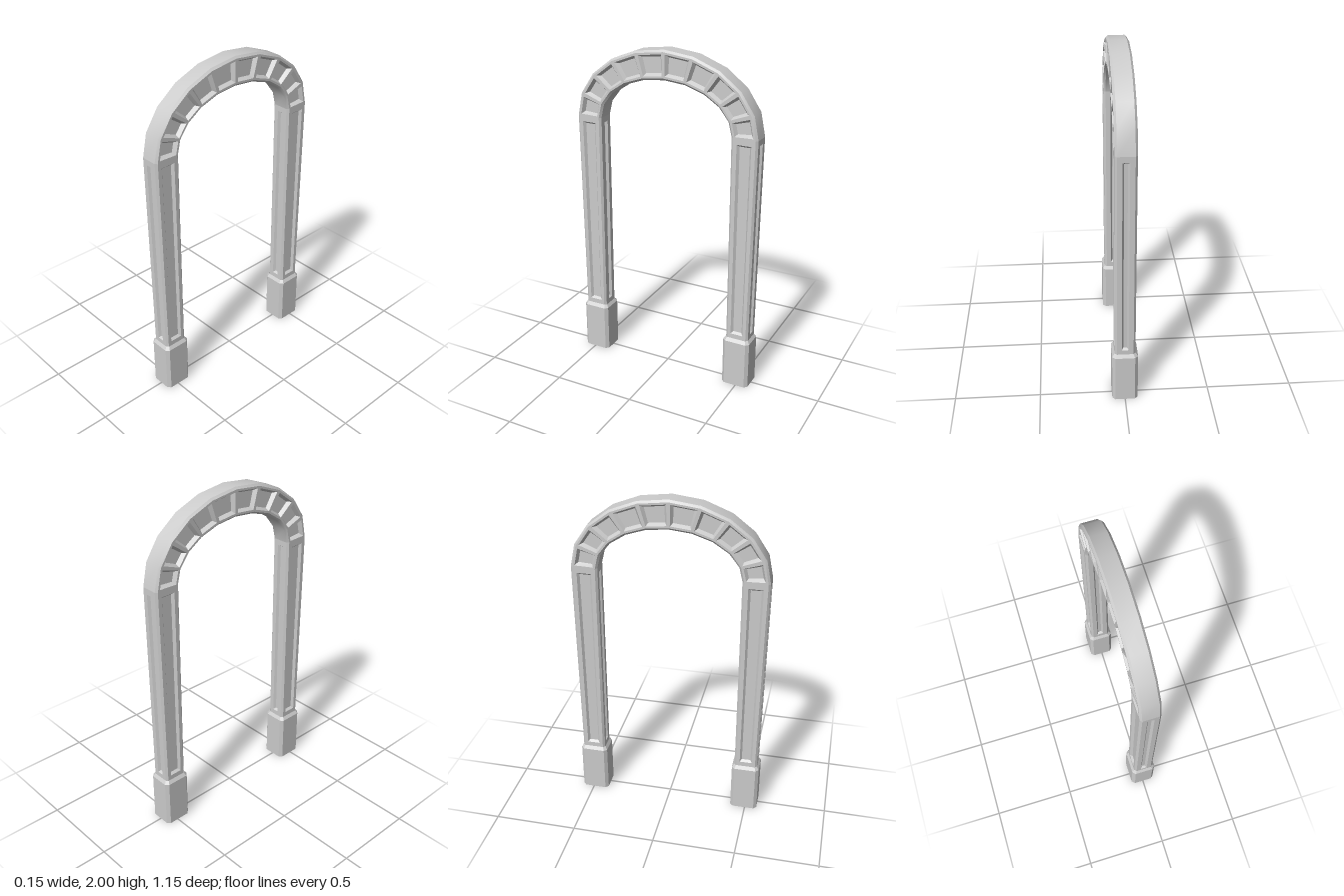
import * as THREE from 'three';
import { toCreasedNormals } from 'three/addons/utils/BufferGeometryUtils.js';

const material = new THREE.MeshStandardMaterial({ color: 0xcccccc, side: THREE.DoubleSide });

// Chamfered rectangular section: o and i are its outer and inner [z, y] points
function section(o, i, half, c) {
  const out = new THREE.Vector3(0, o[1] - i[1], o[0] - i[0]).normalize();
  const pt = (x, p, s) => new THREE.Vector3(x, p[1], p[0]).addScaledVector(out, s);
  const h = half - c;
  return [
    pt(-h, o, 0), pt(h, o, 0), pt(half, o, -c), pt(half, i, c),
    pt(h, i, 0), pt(-h, i, 0), pt(-half, i, c), pt(-half, o, -c),
  ];
}

function quad(out, a, b, c, d) {
  for (const p of [a, b, c, a, c, d]) out.push(p.x, p.y, p.z);
}

// Quad with a sunken panel: flat frame, sloping walls and a floor
function panel(out, corners, { across, along, bevel, depth }) {
  const [a, b, c, d] = corners;
  const width = (a.distanceTo(b) + d.distanceTo(c)) / 2;
  const length = (b.distanceTo(c) + a.distanceTo(d)) / 2;
  const normal = c.clone().sub(a).cross(d.clone().sub(b)).normalize();
  const inset = (extra, drop) => {
    const u = (across + extra) / width, v = (along + extra) / length;
    return [[u, v], [1 - u, v], [1 - u, 1 - v], [u, 1 - v]].map(([s, t]) =>
      a.clone().lerp(b, s).lerp(d.clone().lerp(c, s), t).addScaledVector(normal, -drop));
  };
  const rings = [corners, inset(0, 0), inset(bevel, depth)];
  for (let r = 0; r < 2; r++) {
    for (let k = 0; k < 4; k++) {
      const n = (k + 1) % 4;
      quad(out, rings[r][k], rings[r][n], rings[r + 1][n], rings[r + 1][k]);
    }
  }
  quad(out, ...rings[2]);
}

// Skin between successive sections; panels maps a side number to its panel
function loft(name, sections, panels = {}) {
  const out = [];
  for (let s = 0; s < sections.length - 1; s++) {
    const p = sections[s], q = sections[s + 1];
    for (let k = 0; k < 8; k++) {
      const n = (k + 1) % 8;
      const corners = [p[k], p[n], q[n], q[k]];
      if (panels[k]) panel(out, corners, panels[k]);
      else quad(out, ...corners);
    }
  }
  const geometry = new THREE.BufferGeometry();
  geometry.setAttribute('position', new THREE.Float32BufferAttribute(out, 3));
  geometry.computeVertexNormals();
  const mesh = new THREE.Mesh(toCreasedNormals(geometry, 0.5), material);
  mesh.name = name;
  return mesh;
}

export function createModel() {
  const group = new THREE.Group();
  group.name = 'archway';
  const half = 0.06, chamfer = 0.012, spring = 1.56;

  // Curved top of ten blocks, each with a sunken panel on both sides
  const arc = [];
  for (let i = 0; i <= 10; i++) {
    const t = (i / 10) * Math.PI, c = Math.cos(t), s = Math.sin(t);
    arc.push(section([0.573 * c, spring + 0.44 * s], [0.415 * c, spring + 0.27 * s], half, chamfer));
  }
  const block = { across: 0.012, along: 0.01, bevel: 0.014, depth: 0.022 };
  group.add(loft('arch', arc, { 2: block, 6: block }));

  // Two legs, panelled on all four sides, each in a hollow foot
  const side = { across: 0.022, along: 0.034, bevel: 0.012, depth: 0.015 };
  const edge = { across: 0.028, along: 0.034, bevel: 0.01, depth: 0.015 };
  const leg = [
    section([0.56, 0.31], [0.42, 0.31], half, chamfer),
    section([0.573, spring], [0.415, spring], half, chamfer),
  ];
  const foot = [
    section([0.573, 0], [0.405, 0], 0.075, 0.018),
    section([0.573, 0.295], [0.405, 0.295], 0.075, 0.018),
    section([0.56, 0.315], [0.418, 0.315], 0.061, 0.013),
  ];
  for (const [name, turn] of [['front', 0], ['back', Math.PI]]) {
    const support = new THREE.Group();
    support.name = name + 'Support';
    support.add(loft(name + 'Leg', leg, { 0: edge, 2: side, 4: edge, 6: side }), loft(name + 'Foot', foot));
    support.rotation.y = turn;
    group.add(support);
  }
  return group;
}
